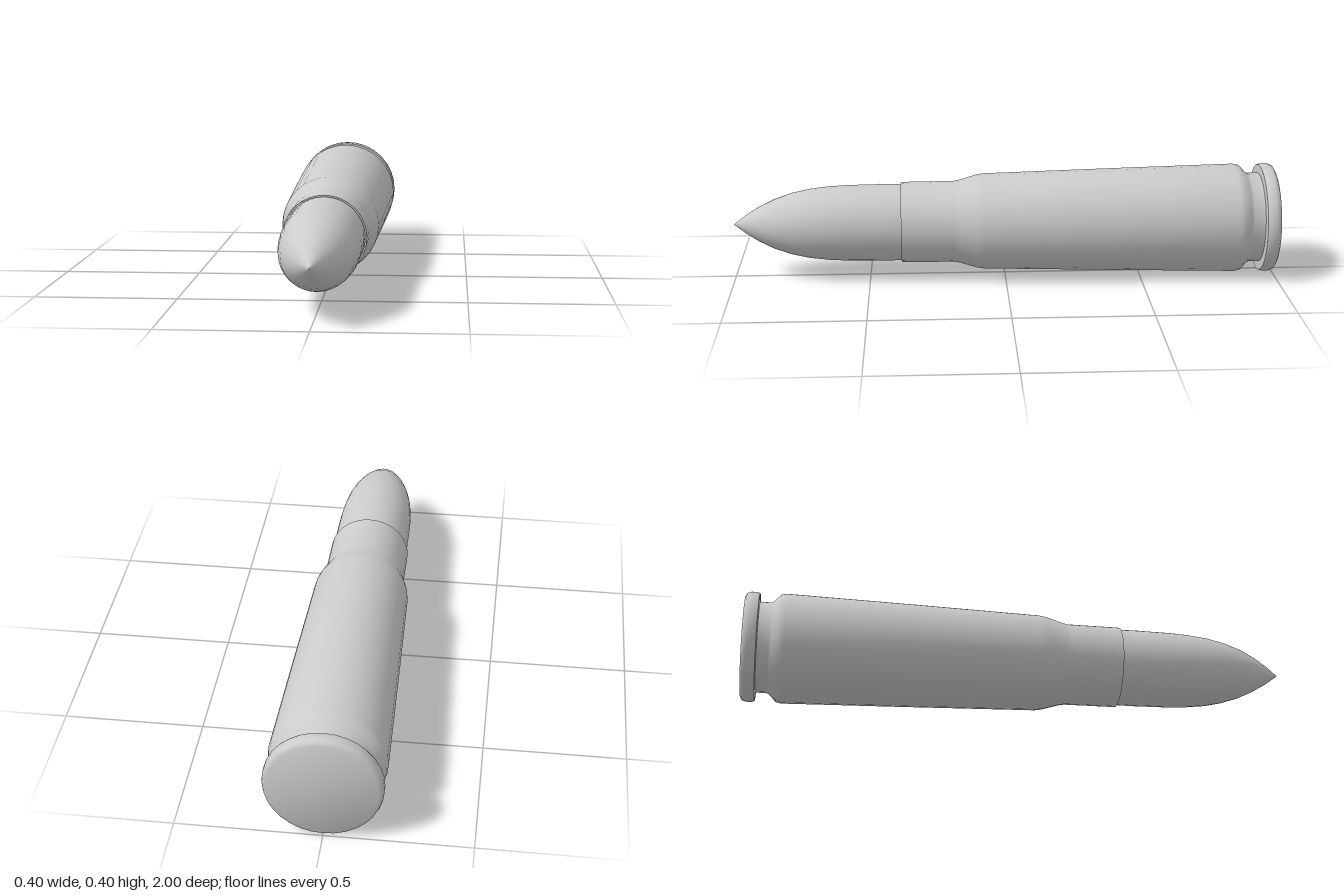
import * as THREE from 'three';
import { toCreasedNormals } from 'three/addons/utils/BufferGeometryUtils.js';

const SEGMENTS = 32;
const AXIS_HEIGHT = 0.202;

// Turned part from [radius, z] pairs listed back to front, lying along z.
function turned(name, profile, material, crease) {
  const points = profile.map(([r, z]) => new THREE.Vector2(r, z));
  let geometry = new THREE.LatheGeometry(points, SEGMENTS);
  geometry.rotateX(Math.PI / 2);
  if (crease) geometry = toCreasedNormals(geometry, crease);
  const mesh = new THREE.Mesh(geometry, material);
  mesh.name = name;
  mesh.position.y = AXIS_HEIGHT;
  return mesh;
}

export function createModel() {
  const group = new THREE.Group();
  group.name = 'cartridge';
  const metal = new THREE.MeshStandardMaterial({ color: 0xcccccc });

  // Flat base with a softened extractor rim
  group.add(turned('rim', [
    [0, -1], [0.185, -1], [0.196, -0.994], [0.201, -0.98],
    [0.201, -0.957], [0.197, -0.948], [0.166, -0.946],
  ], metal, 0.9));

  // Extractor groove, tapered body, shoulder, neck and open mouth
  group.add(turned('case', [
    [0.166, -0.946], [0.166, -0.905], [0.172, -0.895], [0.197, -0.872],
    [0.201, -0.85], [0.19, -0.4], [0.177, 0.08], [0.173, 0.105],
    [0.154, 0.168], [0.15, 0.19], [0.149, 0.383], [0.143, 0.383], [0.143, 0.36],
  ], metal, 0.7));

  // Pointed bullet seated in the neck
  group.add(turned('bullet', [
    [0.141, 0.34], [0.142, 0.45], [0.14, 0.58], [0.136, 0.65], [0.128, 0.72],
    [0.114, 0.785], [0.092, 0.85], [0.065, 0.905], [0.034, 0.955], [0, 1],
  ], metal));

  return group;
}
